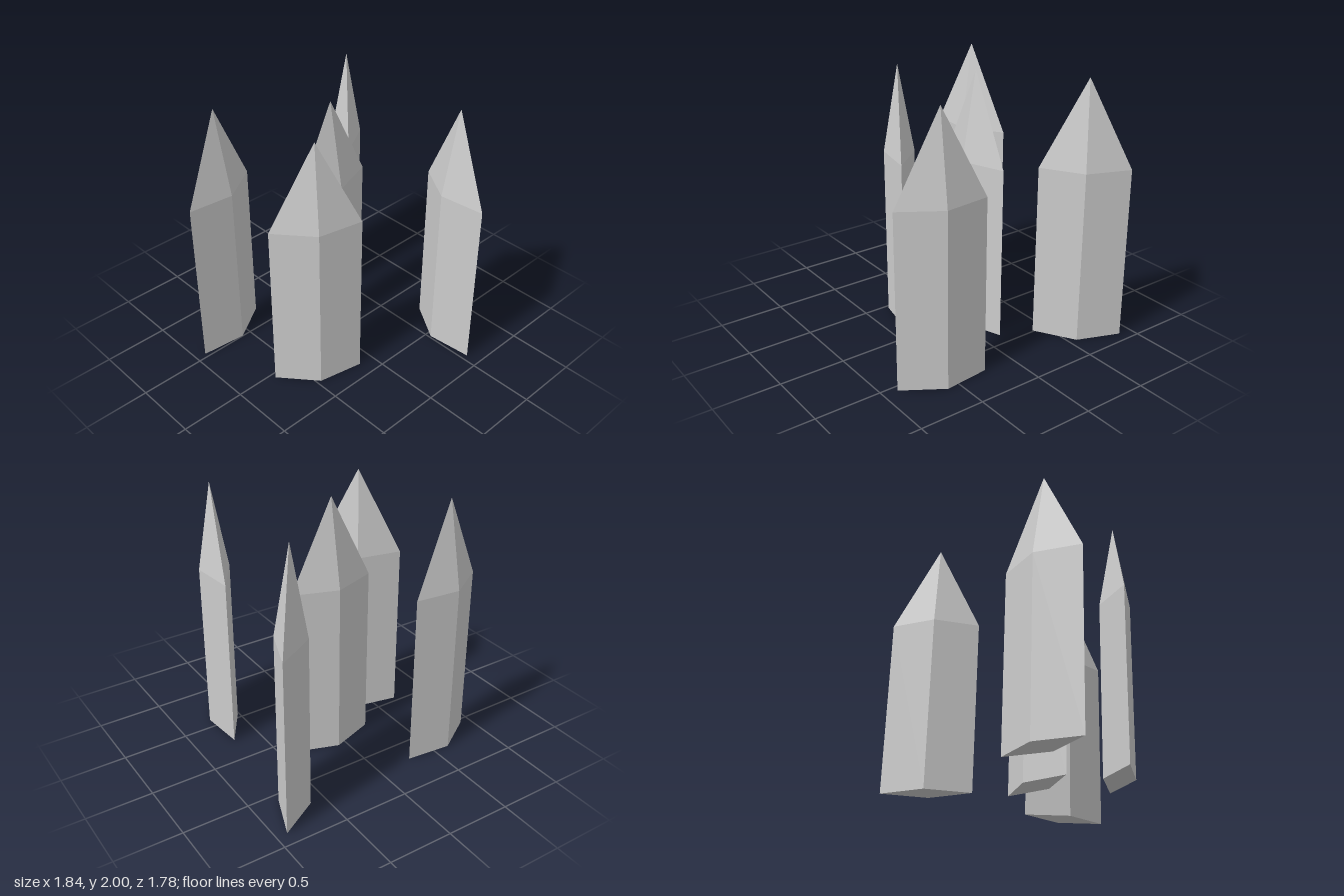
import * as THREE from 'three';

// Half-widths of the diamond cross-section, and heights
const HALF_LONG = 0.33, HALF_SHORT = 0.115, SHOULDER = 1.333, TIP = 2;

// x, z and turn about y of each spike
const SPIKES = [
  [0.065, -0.142, 0],
  [-0.6, -0.614, 0.238],
  [0.702, -0.64, 0.866],
  [-0.408, 0.21, -0.535],
  [0.627, 0.568, 1.333],
];

export function createModel() {
  const model = new THREE.Group();
  model.name = 'spikeCluster';
  const material = new THREE.MeshStandardMaterial({ color: 0xcccccc, flatShading: true });

  // Four-sided closed profile: flat base, upright sides, pointed top
  const profile = [[0, 0], [1, 0], [1, SHOULDER], [0, TIP]].map(([r, y]) => new THREE.Vector2(r, y));
  const geometry = new THREE.LatheGeometry(profile, 4).scale(HALF_LONG, 1, HALF_SHORT);

  SPIKES.forEach(([x, z, turn], i) => {
    const spike = new THREE.Mesh(geometry, material);
    spike.name = `spike${i + 1}`;
    spike.position.set(x, 0, z);
    spike.rotation.y = turn;
    model.add(spike);
  });
  return model;
}
